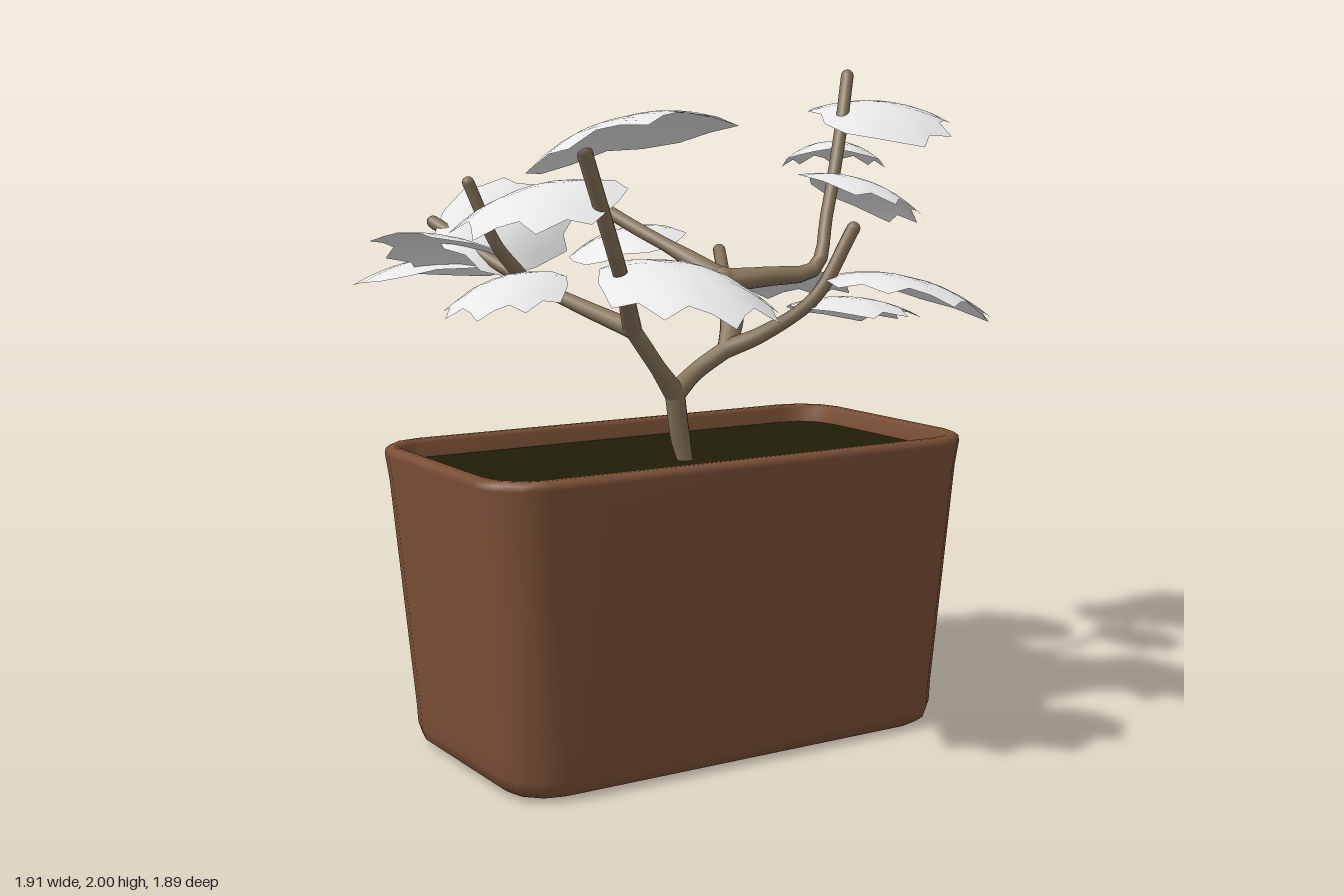
import * as THREE from 'three';

const mat = (name, color, side = THREE.FrontSide) => {
  const m = new THREE.MeshStandardMaterial({ color, side });
  m.name = name;
  return m;
};

// Points of a rounded rectangle, running from +x towards +z
function roundedRing(hx, hz, r, steps = 3) {
  const pts = [];
  [[1, 1], [-1, 1], [-1, -1], [1, -1]].forEach(([sx, sz], c) => {
    for (let i = 0; i <= steps; i++) {
      const a = (c + i / steps) * Math.PI / 2;
      pts.push([sx * (hx - r) + Math.cos(a) * r, sz * (hz - r) + Math.sin(a) * r]);
    }
  });
  return pts;
}

// Skin over stacked rounded rectangles: [halfX, halfZ, y, cornerRadius]
function loft(levels) {
  const pos = [], idx = [];
  levels.forEach(([hx, hz, y, r]) => roundedRing(hx, hz, r).forEach(([x, z]) => pos.push(x, y, z)));
  const n = pos.length / 3 / levels.length;
  for (let i = 0; i < levels.length - 1; i++) {
    for (let j = 0; j < n; j++) {
      const a = i * n + j, b = i * n + (j + 1) % n;
      idx.push(a, a + n, b, b, a + n, b + n);
    }
  }
  const g = new THREE.BufferGeometry();
  g.setAttribute('position', new THREE.Float32BufferAttribute(pos, 3));
  g.setIndex(idx);
  g.computeVertexNormals();
  return g;
}

// Tapered tube along a smooth path
function branchGeometry(points, r0, r1) {
  const curve = new THREE.CatmullRomCurve3(points.map(p => new THREE.Vector3(...p)));
  const seg = 20, sides = 10;
  const g = new THREE.TubeGeometry(curve, seg, r0, sides);
  const p = g.attributes.position, nrm = g.attributes.normal;
  for (let i = 0; i < p.count; i++) {
    const t = Math.floor(i / (sides + 1)) / seg;
    const d = (r1 - r0) * Math.min(1, t * 2.5);
    p.setXYZ(i, p.getX(i) + nrm.getX(i) * d, p.getY(i) + nrm.getY(i) * d, p.getZ(i) + nrm.getZ(i) * d);
  }
  return g;
}

// Lobed leaf, one unit wide and long, tip towards +z, drooping from its middle
function leafGeometry() {
  const half = [[0, 0.03], [0.18, 0], [0.35, 0.09], [0.46, 0.3], [0.52, 0.6], [0.41, 0.67],
    [0.35, 0.86], [0.2, 0.82], [0.1, 0.9], [0, 1]];
  const outline = [...half, ...half.slice(1, -1).reverse().map(([x, z]) => [-x, z])];
  const n = outline.length, rings = 5, pos = [0, 0, 0], idx = [];
  for (let k = 1; k <= rings; k++) {
    outline.forEach(([ox, oz]) => {
      const x = ox * k / rings, z = (oz - 0.5) * k / rings;
      pos.push(x, -0.9 * x * x - 0.55 * z * z + 0.07 * Math.abs(x), z);
    });
  }
  for (let j = 0; j < n; j++) {
    const j2 = (j + 1) % n;
    idx.push(0, 1 + j2, 1 + j);
    for (let k = 0; k < rings - 1; k++) {
      const a = 1 + k * n + j, b = 1 + k * n + j2;
      idx.push(a, b, a + n, b, b + n, a + n);
    }
  }
  const g = new THREE.BufferGeometry();
  g.setAttribute('position', new THREE.Float32BufferAttribute(pos, 3));
  g.setIndex(idx);
  g.computeVertexNormals();
  return g;
}

export function createModel() {
  const model = new THREE.Group();
  model.name = 'pottedPlant';
  const clay = mat('clay', 0x7b5036);
  const soilMat = mat('soil', 0x201d06);
  const bark = mat('bark', 0x857259);
  const leafMat = mat('leaf', 0xf0f0f0, THREE.DoubleSide);
  const add = (name, geometry, material, parent = model) => {
    const m = new THREE.Mesh(geometry, material);
    m.name = name;
    parent.add(m);
    return m;
  };

  // Tapered planter with rounded corners and a hollow rim
  const pot = add('planter', loft([
    [0, 0, 0, 0], [0.66, 0.32, 0, 0.1], [0.7, 0.36, 0.008, 0.12], [0.722, 0.38, 0.025, 0.13],
    [0.734, 0.39, 0.06, 0.14], [0.74, 0.394, 0.12, 0.15], [0.797, 0.425, 0.8, 0.15], [0.807, 0.432, 0.875, 0.15],
    [0.805, 0.43, 0.89, 0.15], [0.793, 0.418, 0.9, 0.14], [0.775, 0.402, 0.9, 0.13],
    [0.765, 0.393, 0.888, 0.12], [0.76, 0.388, 0.82, 0.12],
  ]), clay);
  pot.position.set(-0.105, 0, 0.02);
  const soil = add('soil', loft([[0.765, 0.393, 0.845, 0.12], [0, 0, 0.845, 0]]), soilMat);
  soil.position.copy(pot.position);

  // Branches: path, start radius, end radius
  const branches = new THREE.Group();
  branches.name = 'branches';
  model.add(branches);
  const fork = [-0.17, 1.05, 0.11], left = [-0.33, 1.25, 0.14], low = [0.01, 1.17, 0.11], hub = [0.09, 1.36, -0.03];
  [
    ['trunk', [[-0.11, 0.82, 0.08], [-0.14, 0.92, 0.09], fork], 0.022, 0.03],
    ['leftBough', [fork, [-0.25, 1.15, 0.125], left], 0.032, 0.024],
    ['rightBough', [fork, [-0.08, 1.11, 0.09], low], 0.032, 0.026],
    ['frontLeftBranch', [left, [-0.45, 1.39, 0.3], [-0.53, 1.49, 0.39], [-0.69, 1.76, 0.52]], 0.028, 0.021],
    ['backLeftBranch', [left, [-0.39, 1.31, -0.1], [-0.47, 1.39, -0.35], [-0.6, 1.53, -0.61]], 0.028, 0.02],
    ['leftTwig', [[-0.46, 1.38, -0.3], [-0.56, 1.48, -0.26], [-0.65, 1.66, -0.25]], 0.022, 0.018],
    ['middleBough', [low, [0.06, 1.25, 0.06], hub], 0.028, 0.036],
    ['frontRightBranch', [low, [0.08, 1.22, 0.2], [0.17, 1.33, 0.33], [0.27, 1.53, 0.38]], 0.028, 0.02],
    ['backBranch', [hub, [0.02, 1.44, -0.18], [-0.05, 1.52, -0.36], [-0.11, 1.6, -0.53]], 0.036, 0.021],
    ['backRightBranch', [hub, [0.17, 1.38, -0.16], [0.26, 1.43, -0.32]], 0.036, 0.02],
    ['rightBranch', [hub, [0.22, 1.37, 0.02], [0.37, 1.39, 0.05], [0.45, 1.55, 0], [0.55, 1.8, -0.07],
      [0.62, 1.98, -0.13]], 0.036, 0.02],
  ].forEach(([name, path, r0, r1]) => {
    add(name, branchGeometry(path, r0, r1), bark, branches);
    const tip = add(name + 'End', new THREE.SphereGeometry(r1, 10, 8), bark, branches);
    tip.position.set(...path[path.length - 1]);
  });
  add('hubKnot', new THREE.SphereGeometry(0.042, 12, 8), bark, branches).position.set(...hub);

  // Leaves: centre, heading of the tip (x, z), height slope along (x, z), width, length, droop
  const leaves = new THREE.Group();
  leaves.name = 'leaves';
  model.add(leaves);
  const shape = leafGeometry();
  [
    [[-0.69, 1.84, 0.71], [-0.3, 1], [0.16, 0.22], 0.53, 0.46, 0.4],
    [[-0.72, 1.65, 0.28], [-0.8, 0.3], [0.3, -0.08], 0.45, 0.5, 0.35],
    [[-0.32, 1.43, 0.46], [-0.1, 1], [-0.05, -0.28], 0.49, 0.56, 0.42],
    [[0.4, 1.39, 0.49], [-0.2, 1], [-0.22, -0.1], 0.48, 0.56, 0.35],
    [[0.35, 1.32, 0.29], [0.8, 0.5], [-0.15, 0.05], 0.36, 0.4, 0.3],
    [[0.74, 1.89, -0.08], [1, 0.3], [0.02, -0.24], 0.49, 0.46, 0.35],
    [[0.62, 1.77, -0.2], [0.6, -0.8], [-0.1, 0.12], 0.32, 0.34, 0.35],
    [[0.54, 1.65, 0.1], [0.5, 0.8], [-0.4, -0.1], 0.37, 0.41, 0.35],
    [[0.46, 1.35, -0.31], [0.5, -0.85], [-0.15, 0.25], 0.49, 0.5, 0.27],
    [[-0.01, 1.49, -0.46], [0.5, -0.85], [0.28, -0.05], 0.37, 0.36, 0.25],
    [[-0.54, 1.41, -0.75], [0.4, -1], [0.1, 0.08], 0.5, 0.43, 0.25],
    [[-0.38, 1.56, -0.52], [0.9, -0.45], [0.1, -0.8], 0.38, 0.5, 0.3],
    [[-0.63, 1.48, -0.49], [-0.9, -0.35], [-0.3, 0.3], 0.36, 0.42, 0.27],
    [[-0.59, 1.37, -0.16], [-0.7, 0.6], [0.28, -0.1], 0.36, 0.42, 0.27],
  ].forEach(([centre, [dx, dz], [sx, sz], width, length, droop], i) => {
    const up = new THREE.Vector3(-sx, 1, -sz).normalize();
    const forward = new THREE.Vector3(dx, sx * dx + sz * dz, dz).normalize();
    const side = new THREE.Vector3().crossVectors(up, forward);
    const leaf = add('leaf' + (i + 1), shape, leafMat, leaves);
    leaf.quaternion.setFromRotationMatrix(new THREE.Matrix4().makeBasis(side, up, forward));
    leaf.position.set(...centre);
    leaf.scale.set(width, droop, length);
  });
  return model;
}
